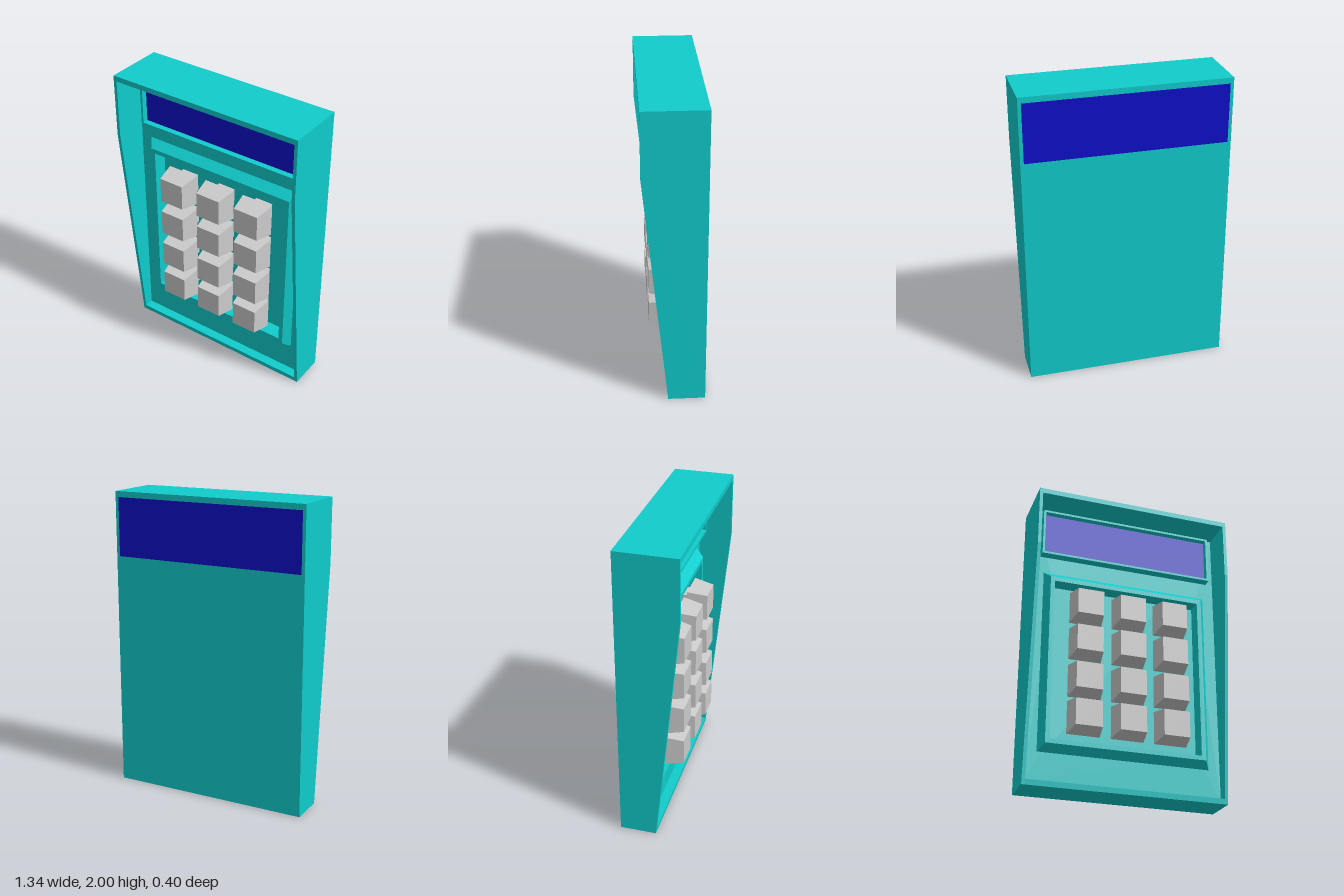
import * as THREE from 'three';

const teal = new THREE.MeshStandardMaterial({ color: 0x11cccc });
const blue = new THREE.MeshStandardMaterial({ color: 0x0e0ecc });
const grey = new THREE.MeshStandardMaterial({ color: 0xcccccc });

// Skin a series of rectangles [halfWidth, yMin, yMax, z], optionally closed at both ends
function rectLoft(sections, capped = false) {
  const pos = [], index = [];
  for (const [w, y0, y1, z] of sections) pos.push(-w, y0, z, w, y0, z, w, y1, z, -w, y1, z);
  for (let s = 0; s < sections.length - 1; s++) {
    for (let i = 0; i < 4; i++) {
      const a = s * 4 + i, b = s * 4 + (i + 1) % 4;
      index.push(a, b, b + 4, a, b + 4, a + 4);
    }
  }
  if (capped) {
    const e = (sections.length - 1) * 4;
    index.push(0, 2, 1, 0, 3, 2, e, e + 1, e + 2, e, e + 2, e + 3);
  }
  const indexed = new THREE.BufferGeometry();
  indexed.setAttribute('position', new THREE.Float32BufferAttribute(pos, 3));
  indexed.setIndex(index);
  const geo = indexed.toNonIndexed();
  geo.computeVertexNormals();
  return geo;
}

// Extrude a side outline of [z, y] points from x0 to x1
function sideExtrude(points, x0, x1) {
  const shape = new THREE.Shape(points.map(([z, y]) => new THREE.Vector2(z, y)));
  const geo = new THREE.ExtrudeGeometry(shape, { depth: x1 - x0, bevelEnabled: false });
  return geo.rotateY(-Math.PI / 2).translate(x1, 0, 0);
}

function box(x0, x1, y0, y1, z0, z1) {
  return new THREE.BoxGeometry(x1 - x0, y1 - y0, z1 - z0)
    .translate((x0 + x1) / 2, (y0 + y1) / 2, (z0 + z1) / 2);
}

export function createModel() {
  const model = new THREE.Group();
  model.name = 'keypadTerminal';
  const add = (name, geometry, material, parent = model) => {
    const mesh = new THREE.Mesh(geometry, material);
    mesh.name = name;
    parent.add(mesh);
    return mesh;
  };

  const W = 0.672, IN = 0.65;            // outer and inner half widths of the case
  const BACK = -0.2, PANEL = -0.02, FLOOR = -0.065;

  // Case walls: tapered sides, top and bottom
  const profile = [[BACK, 0], [0.04, 0], [0.2, 1.58], [0.2, 2], [BACK, 2]];
  add('leftWall', sideExtrude(profile, IN, W), teal);
  add('rightWall', sideExtrude(profile, -W, -IN), teal);
  add('topWall', box(-IN, IN, 1.965, 2, BACK, 0.2), teal);
  add('bottomWall', sideExtrude([[BACK, 0], [0.04, 0], [0.0436, 0.035], [BACK, 0.035]], -IN, IN), teal);

  // Back plate and the recessed face with an opening for the keypad
  add('backPlate', box(-IN, IN, 0.035, 1.965, BACK, FLOOR), teal);
  const rect = (Type, w, y0, y1) => new Type(
    [[-w, y0], [w, y0], [w, y1], [-w, y1]].map(([x, y]) => new THREE.Vector2(x, y)));
  const face = rect(THREE.Shape, IN, 0.035, 1.965);
  face.holes.push(rect(THREE.Path, 0.505, 0.31, 1.41));
  add('facePanel', new THREE.ExtrudeGeometry(face, { depth: PANEL - FLOOR, bevelEnabled: false })
    .translate(0, 0, FLOOR), teal);

  // Display: raised frame, front screen, and the window on the back
  add('displayFrame', rectLoft([
    [0.6, 1.605, 1.94, PANEL], [0.6, 1.605, 1.94, 0.04],
    [0.585, 1.62, 1.925, 0.04], [0.585, 1.62, 1.925, PANEL],
  ]), teal);
  add('displayScreen', box(-0.585, 0.585, 1.62, 1.925, PANEL - 0.02, 0), blue);
  add('backWindow', box(-IN, IN, 1.575, 1.962, BACK - 0.001, BACK + 0.02), blue);

  // Keypad surround: sloped outside, flat rim, straight inner wall
  add('keypadFrame', rectLoft([
    [0.572, 0.235, 1.487, PANEL], [0.535, 0.28, 1.44, 0.035],
    [0.505, 0.31, 1.41, 0.035], [0.505, 0.31, 1.41, FLOOR],
  ]), teal);

  // Twelve tapered keys on short stems
  const keys = new THREE.Group();
  keys.name = 'keys';
  model.add(keys);
  const keyGeo = rectLoft([[0.109, -0.109, 0.109, 0.015], [0.087, -0.087, 0.087, 0.148]], true);
  const stemGeo = box(-0.06, 0.06, -0.06, 0.06, FLOOR, 0.02);
  for (const y of [1.235, 0.976, 0.716, 0.467]) {
    for (const x of [-0.288, 0.003, 0.294]) {
      const key = add('key', keyGeo, grey, keys);
      key.position.set(x, y, 0);
      add('keyStem', stemGeo, grey, key);
    }
  }
  return model;
}
